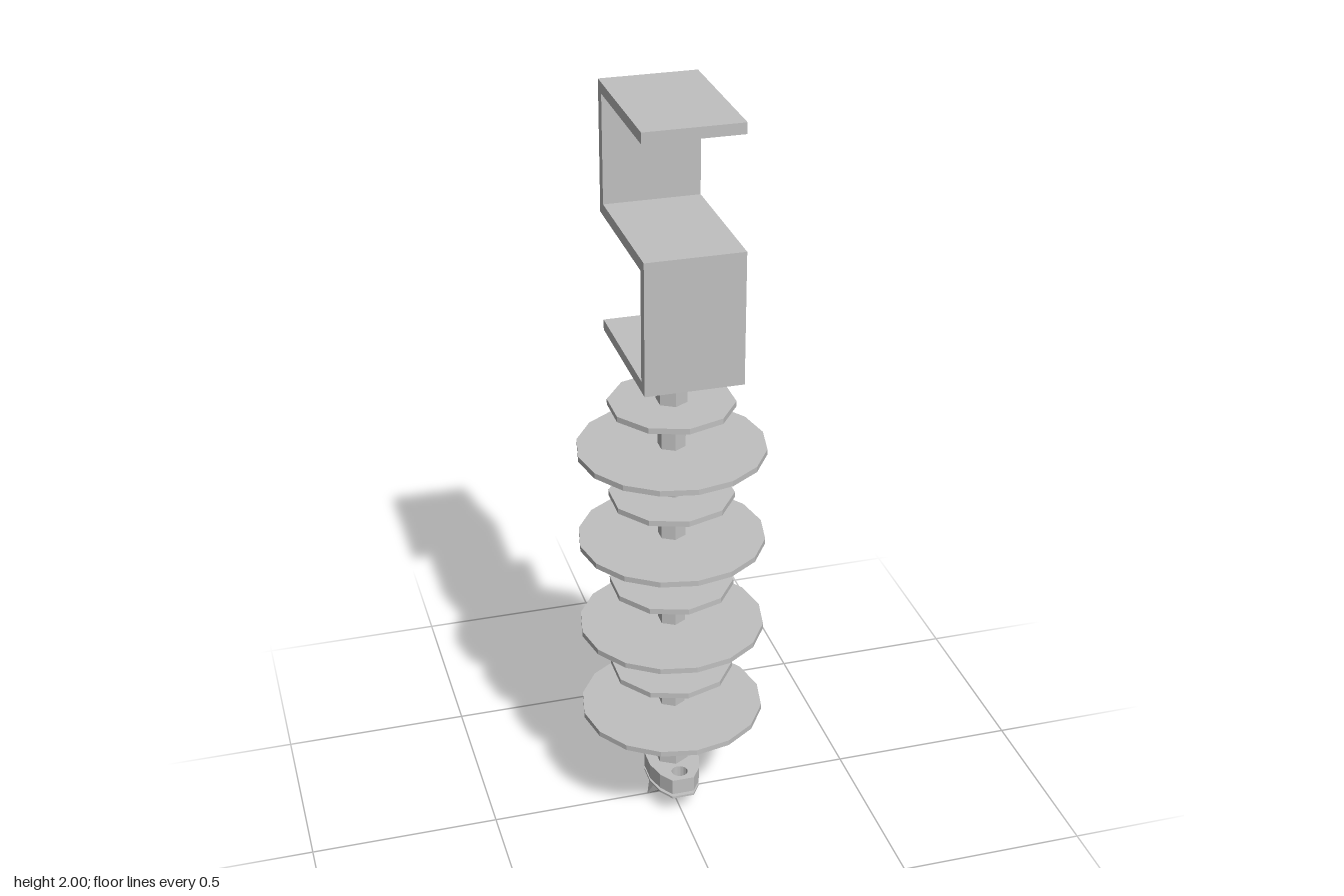
import * as THREE from 'three';
import { ConvexGeometry } from 'three/addons/geometries/ConvexGeometry.js';

export function createModel() {
  const model = new THREE.Group();
  const grey = new THREE.MeshStandardMaterial({ color: 0xc0c0c0 });
  grey.name = 'light grey';
  grey.flatShading = true;

  const add = (name, geometry, y = 0) => {
    const mesh = new THREE.Mesh(geometry, grey);
    mesh.name = name;
    mesh.position.y = y;
    model.add(mesh);
    return mesh;
  };
  const v2 = ([x, y]) => new THREE.Vector2(x, y);
  const lathe = (points, sides) => new THREE.LatheGeometry(points.map(v2), sides);

  // S-shaped mounting bracket: outline in (z, y), extruded across x
  const outline = [
    [-0.19, 1.345], [0.205, 1.345], [0.205, 1.69], [-0.175, 1.69], [-0.175, 1.972],
    [0.19, 1.972], [0.19, 2], [-0.205, 2], [-0.205, 1.66], [0.175, 1.66],
    [0.175, 1.373], [-0.19, 1.373],
  ];
  const bracket = new THREE.ExtrudeGeometry(new THREE.Shape(outline.map(v2)), { depth: 0.25, bevelEnabled: false });
  bracket.translate(0, 0, -0.125).rotateY(-Math.PI / 2);
  add('bracket', bracket);

  // Hexagonal core with end collars, and the stud through the bracket
  add('core', lathe([
    [0, 0.11], [0.046, 0.11], [0.046, 0.165], [0.037, 0.165], [0.037, 1.2],
    [0.041, 1.2], [0.041, 1.27], [0, 1.27],
  ], 6));
  add('stud', lathe([[0, 1.26], [0.03, 1.26], [0.03, 1.492], [0.024, 1.505], [0, 1.505]], 6));

  // Alternating wide and narrow insulator sheds
  const shed = (radius, height, sides) => lathe([
    [0, 0], [0.03, 0], [radius, height - 0.015], [radius, height], [0, height],
  ], sides);
  const wide = shed(0.244, 0.054, 16);
  const narrow = shed(0.163, 0.04, 10);
  for (let i = 0; i < 4; i++) {
    add('wideShed', wide, 0.254 + i * 0.262);
    add('narrowShed', narrow, 0.394 + i * 0.262);
  }

  // Oval flange with two bolt holes, and a thin washer plate below it
  const flangeShape = new THREE.Shape([
    [0.07, -0.03], [0.07, 0.03], [0.055, 0.08], [0.03, 0.117], [-0.03, 0.117], [-0.055, 0.08],
    [-0.07, 0.03], [-0.07, -0.03], [-0.055, -0.08], [-0.03, -0.117], [0.03, -0.117], [0.055, -0.08],
  ].map(v2));
  for (const z of [-0.08, 0.08]) {
    flangeShape.holes.push(new THREE.Path().absarc(0, z, 0.022, 0, Math.PI * 2, true));
  }
  const flange = (depth) => new THREE.ExtrudeGeometry(flangeShape, { depth, bevelEnabled: false, curveSegments: 8 })
    .rotateX(Math.PI / 2);
  add('flange', flange(0.045), 0.12);
  add('washerPlate', flange(0.006), 0.066);
  add('neck', new THREE.CylinderGeometry(0.06, 0.06, 0.03, 6), 0.07);

  // Chisel tip: a hexagon narrowing to a straight edge along x
  const tip = [new THREE.Vector3(-0.07, 0, 0), new THREE.Vector3(0.07, 0, 0)];
  for (let i = 0; i < 6; i++) {
    const a = (i * Math.PI) / 3;
    tip.push(new THREE.Vector3(0.06 * Math.sin(a), 0.06, 0.06 * Math.cos(a)));
  }
  add('chiselTip', new ConvexGeometry(tip));

  return model;
}
